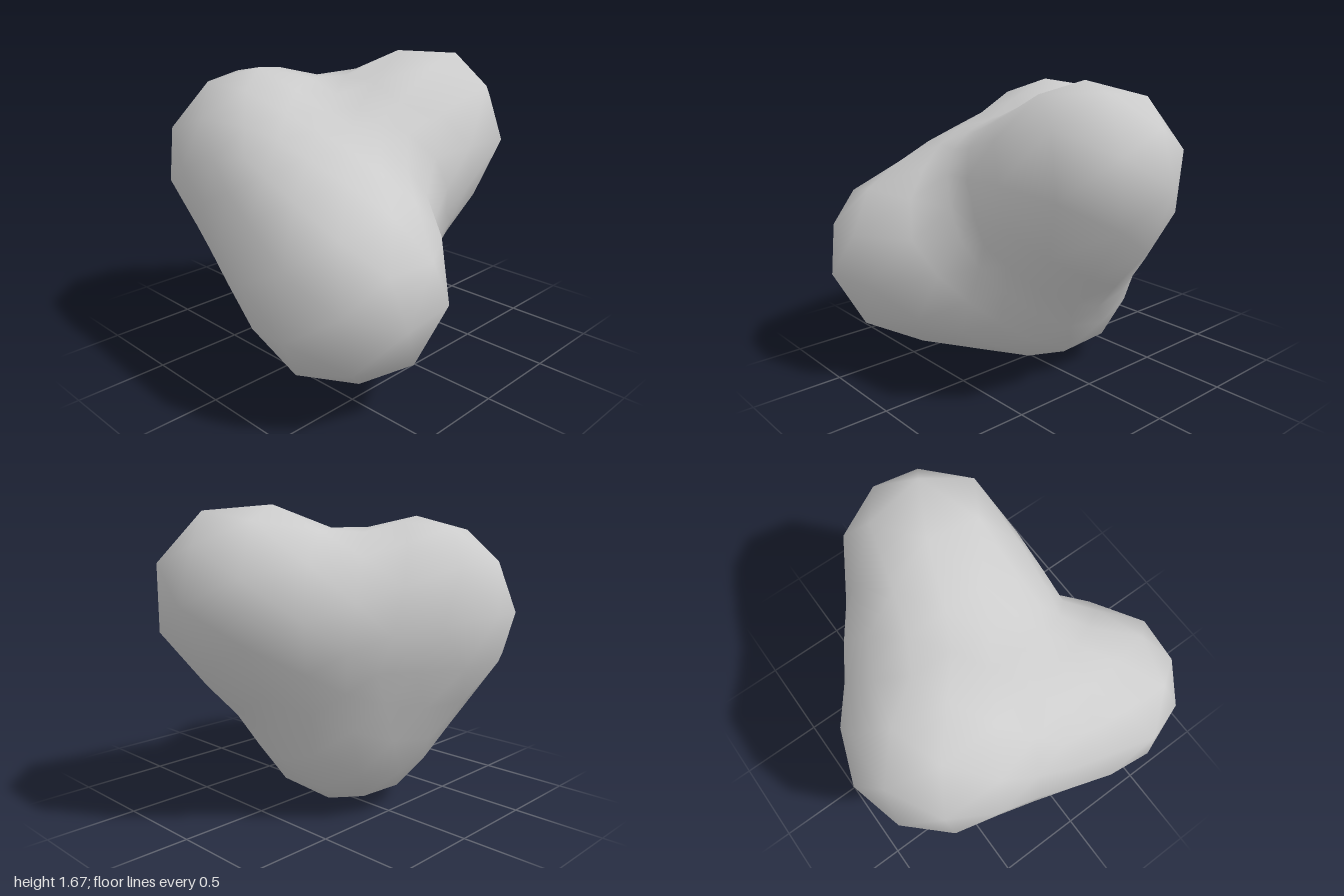
import * as THREE from 'three';
import { mergeVertices } from 'three/addons/utils/BufferGeometryUtils.js';

const V = (x, y, z) => new THREE.Vector3(x, y, z);

// Lobes of the lump: centre and radius
const upper = { p: V(-0.455, 1.1, 0.28), r: 0.5 };
const side = { p: V(0.445, 0.66, 0.48), r: 0.52 };
const back = { p: V(0.06, 1.225, -0.53), r: 0.46 };
const base = { p: V(-0.13, 0.535, 0.04), r: 0.53 };
// Inner lobes that fill the saddles between them
const saddle = { p: V(-0.22, 1.05, -0.12), r: 0.47 };
const neck = { p: V(-0.1, 0.62, 0.05), r: 0.49 };
const chest = { p: V(0.08, 0.82, 0.36), r: 0.49 };

// Each trio of lobes is spanned by a thick, rounded web
const webs = [
  [upper, side, base],
  [upper, saddle, neck],
  [back, saddle, neck],
  [back, chest, neck],
].map((lobes) => ({ lobes, tri: new THREE.Triangle(...lobes.map((l) => l.p)) }));

// Distance from a point to one web, its thickness blending between the lobes
function webDistance(q, { lobes, tri }) {
  const near = tri.closestPointToPoint(q, V());
  const w = tri.getBarycoord(near, V());
  return q.distanceTo(near) - (w.x * lobes[0].r + w.y * lobes[1].r + w.z * lobes[2].r);
}

// Softly blended distance to the whole lump
function lumpDistance(q) {
  const k = 0.1;
  return webs.map((web) => webDistance(q, web)).reduce((m, d) => {
    const h = Math.max(k - Math.abs(m - d), 0) / k;
    return Math.min(m, d) - h * h * k * 0.25;
  });
}

// Shrink a coarse sphere onto the blended lobes
function lumpGeometry() {
  let geo = new THREE.IcosahedronGeometry(1, 3);
  geo.deleteAttribute('normal');
  geo.deleteAttribute('uv');
  geo = mergeVertices(geo, 1e-4);
  const centre = V(-0.02, 0.87, 0.1);
  const pos = geo.attributes.position;
  for (let i = 0; i < pos.count; i++) {
    const dir = V().fromBufferAttribute(pos, i).normalize();
    const q = V();
    let t = 2;
    for (let n = 0; n < 100; n++) {
      q.copy(centre).addScaledVector(dir, t);
      const d = lumpDistance(q);
      if (d < 0.001) break;
      t -= d * 0.8;
    }
    pos.setXYZ(i, q.x, q.y, q.z);
  }
  // Rest on the ground
  geo.computeBoundingBox();
  geo.translate(0, -geo.boundingBox.min.y, 0);
  geo.computeVertexNormals();
  return geo;
}

export function createModel() {
  const group = new THREE.Group();
  group.name = 'lobedStone';
  const grey = new THREE.MeshStandardMaterial({ color: 0xcccccc });
  grey.name = 'stoneGrey';
  const body = new THREE.Mesh(lumpGeometry(), grey);
  body.name = 'stoneBody';
  group.add(body);
  return group;
}
